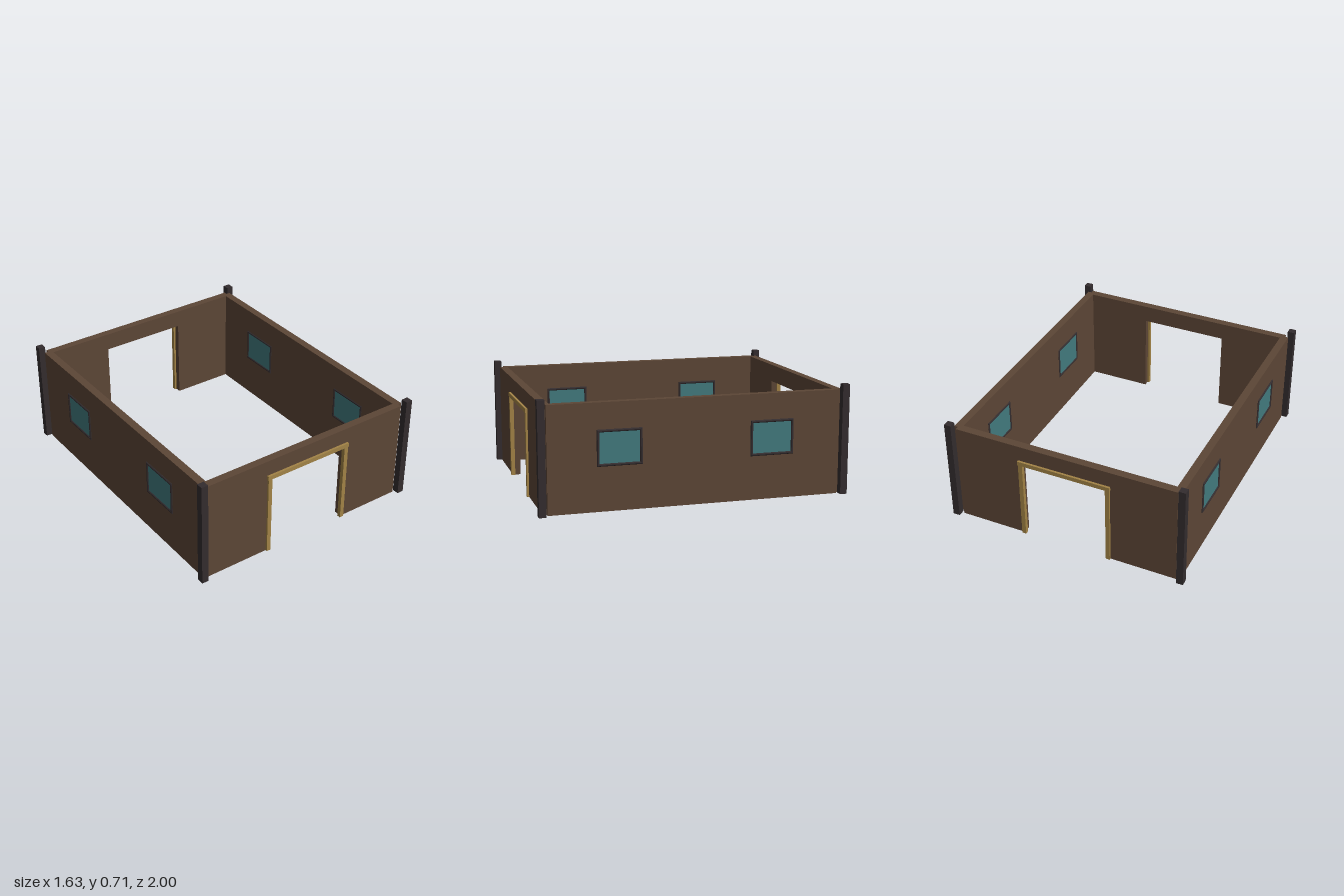
import * as THREE from 'three';

const mat = (name, color) => {
  const m = new THREE.MeshStandardMaterial({ color });
  m.name = name;
  return m;
};

// Rectangle outline centred on cx, cy
function rect(Type, cx, cy, w, h) {
  const p = new Type();
  p.moveTo(cx - w / 2, cy - h / 2);
  p.lineTo(cx + w / 2, cy - h / 2);
  p.lineTo(cx + w / 2, cy + h / 2);
  p.lineTo(cx - w / 2, cy + h / 2);
  p.closePath();
  return p;
}

// Extrusion centred on its own depth
function slab(shape, depth, bevel = 0) {
  const g = new THREE.ExtrudeGeometry(shape, {
    depth: depth - 2 * bevel, bevelEnabled: bevel > 0, bevelSize: bevel,
    bevelThickness: bevel, bevelOffset: -bevel, bevelSegments: 1,
  });
  return g.translate(0, 0, -depth / 2 + bevel);
}

export function createModel() {
  const model = new THREE.Group();
  model.name = 'roofless house';
  const wallMat = mat('brown wall', 0x5c4636);
  const darkMat = mat('dark timber', 0x332c2e);
  const trimMat = mat('golden trim', 0xa28346);
  const glassMat = mat('teal glass', 0x427a7e);

  const H = 0.676, T = 0.052, WX = 0.752, WZ = 0.941;
  const winZ = 0.492, winY = 0.396;

  const add = (parent, name, geo, material, x = 0, y = 0, z = 0) => {
    const m = new THREE.Mesh(geo, material);
    m.name = name;
    m.position.set(x, y, z);
    parent.add(m);
    return m;
  };

  // End wall outline with a doorway open at the floor
  const endShape = new THREE.Shape([
    [-WX, 0], [-0.297, 0], [-0.297, 0.558], [0.297, 0.558],
    [0.297, 0], [WX, 0], [WX, H], [-WX, H],
  ].map(([x, y]) => new THREE.Vector2(x, y)));
  const endGeo = slab(endShape, T);

  // Side wall outline with two window openings
  const sideShape = rect(THREE.Shape, 0, H / 2, 2 * WZ, H);
  for (const s of [-1, 1]) sideShape.holes.push(rect(THREE.Path, s * winZ, winY, 0.27, 0.212));
  const sideGeo = slab(sideShape, T);

  // Window frame ring with chamfered edges
  const frameShape = rect(THREE.Shape, 0, 0, 0.286, 0.228);
  frameShape.holes.push(rect(THREE.Path, 0, 0, 0.254, 0.194));
  const frameGeo = slab(frameShape, 0.066, 0.005);
  const paneGeo = new THREE.BoxGeometry(0.26, 0.2, 0.054);

  const jambGeo = new THREE.BoxGeometry(0.028, 0.548, 0.026);
  const headerGeo = new THREE.BoxGeometry(0.628, 0.028, 0.028);
  const postGeo = new THREE.BoxGeometry(0.046, 0.713, 0.046);

  for (const s of [-1, 1]) {
    // Front and back walls with door trim on the outside
    const end = new THREE.Group();
    end.name = s > 0 ? 'frontWall' : 'backWall';
    end.rotation.y = s > 0 ? 0 : Math.PI;
    add(end, 'endWall', endGeo, wallMat, 0, 0, WZ);
    for (const k of [-1, 1]) add(end, 'doorJamb', jambGeo, trimMat, k * 0.297, 0.274, 0.967);
    add(end, 'doorHeader', headerGeo, trimMat, 0, 0.558, 0.968);
    model.add(end);

    // Side walls with two windows each
    const side = new THREE.Group();
    side.name = s > 0 ? 'leftWall' : 'rightWall';
    side.rotation.y = s * Math.PI / 2;
    add(side, 'sideWall', sideGeo, wallMat, 0, 0, WX);
    for (const k of [-1, 1]) {
      add(side, 'windowFrame', frameGeo, darkMat, k * winZ, winY, WX + 0.001);
      add(side, 'windowPane', paneGeo, glassMat, k * winZ, winY, WX);
    }
    model.add(side);

    // Corner posts
    for (const k of [-1, 1]) add(model, 'cornerPost', postGeo, darkMat, s * 0.79, 0.3565, k * 0.977);
  }
  return model;
}
